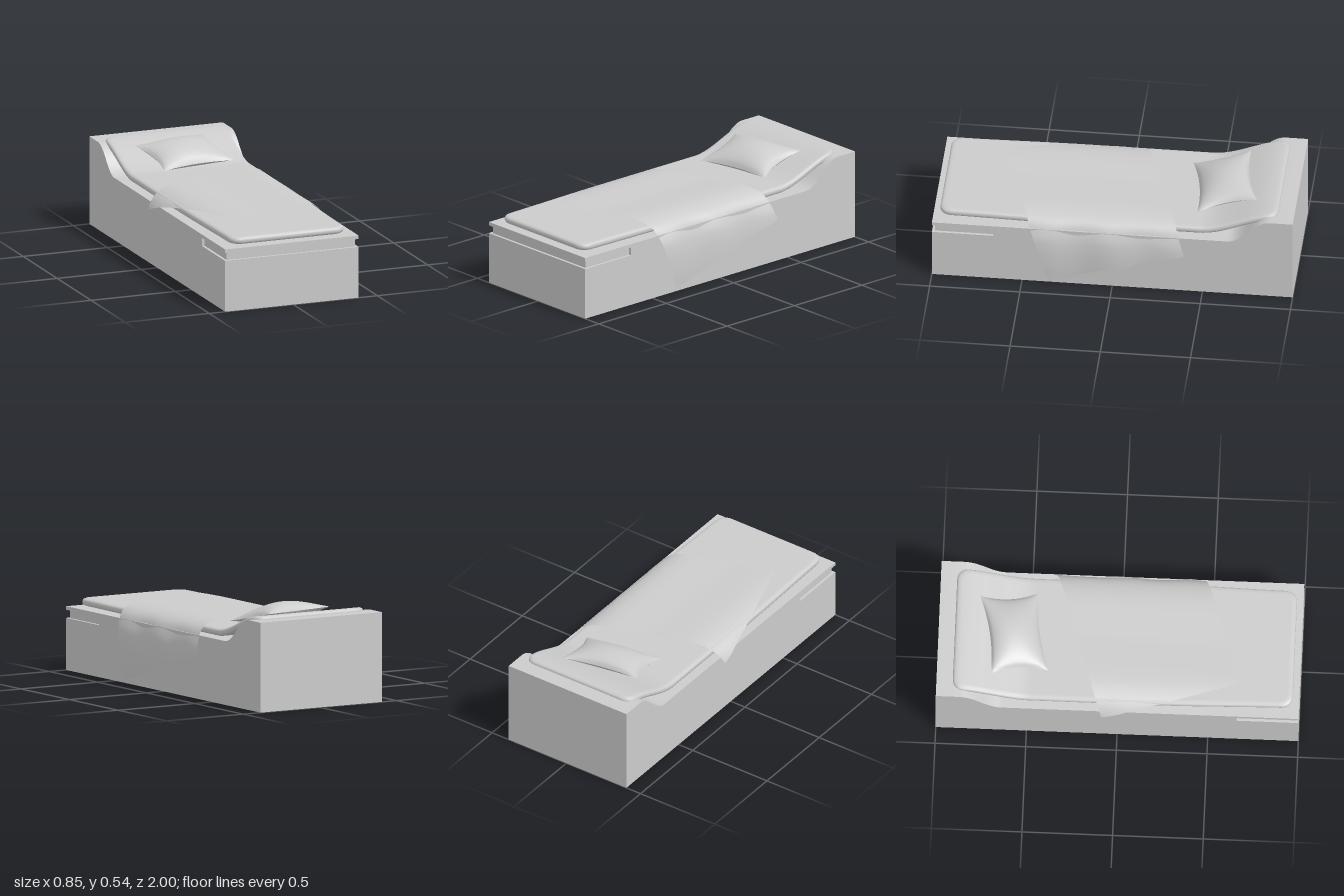
import * as THREE from 'three';
import { mergeVertices, toCreasedNormals } from 'three/addons/utils/BufferGeometryUtils.js';

const { smoothstep, lerp, clamp } = THREE.MathUtils;

// Moves every vertex of a geometry by a rule
function warp(geometry, rule) {
  const pos = geometry.attributes.position;
  const p = new THREE.Vector3();
  for (let i = 0; i < pos.count; i++) {
    rule(p.fromBufferAttribute(pos, i));
    pos.setXYZ(i, p.x, p.y, p.z);
  }
  geometry.computeVertexNormals();
  return geometry;
}

// Sheet over u, v in 0..1, where fn writes the point for (u, v)
function sheet(nu, nv, fn) {
  const g = new THREE.PlaneGeometry(1, 1, nu, nv);
  return warp(g, (p) => fn(p.x + 0.5, p.y + 0.5, p));
}

function add(parent, name, geometry, side = THREE.FrontSide) {
  const mesh = new THREE.Mesh(geometry, new THREE.MeshStandardMaterial({ color: 0xcccccc, side }));
  mesh.name = name;
  parent.add(mesh);
  return mesh;
}

// Side outline with the raised head end and the notch at the foot, pushed across the width
function baseGeometry() {
  const s = new THREE.Shape();
  s.moveTo(-1, 0);
  s.lineTo(1, 0);
  s.lineTo(1, 0.5);
  s.lineTo(0.87, 0.5);
  s.bezierCurveTo(0.77, 0.49, 0.73, 0.355, 0.63, 0.355);
  for (const [x, y] of [[-1, 0.355], [-1, 0.335], [-0.66, 0.335], [-0.66, 0.29], [-1, 0.29]]) s.lineTo(x, y);
  s.closePath();
  const g = new THREE.ExtrudeGeometry(s, { depth: 0.793, bevelEnabled: false, curveSegments: 20 });
  g.rotateY(Math.PI / 2).translate(-0.405, 0, 0);
  return toCreasedNormals(g, 0.5);
}

// Slab with rounded corners and edges that bends up at the head end
function mattressGeometry() {
  const hx = 0.355, hy = 0.02, hz = 0.9375, corner = 0.06, edge = 0.015;
  let g = new THREE.BoxGeometry(2 * hx, 2 * hy, 2 * hz, 40, 8, 100);
  g.deleteAttribute('uv');
  g.deleteAttribute('normal');
  g = mergeVertices(g);
  return warp(g, (p) => {
    const qx = clamp(p.x, corner - hx, hx - corner), qz = clamp(p.z, corner - hz, hz - corner);
    const dx = p.x - qx, dz = p.z - qz;
    const k = Math.max(Math.abs(dx), Math.abs(dz)) / (Math.hypot(dx, dz) || 1);
    const f = Math.min(1, Math.abs(p.y) / hy);
    const inset = edge * (1 - Math.sqrt(1 - f * f));
    p.x = (qx + dx * k) * (1 - inset / hx);
    p.z = (qz + dz * k) * (1 - inset / hz) + 0.0275;
    p.x = p.x * (1 - 0.04 * smoothstep(p.z, 0.2, 1)) - 0.01;
    p.y += 0.383 + 0.115 * smoothstep(-p.z, 0.48, 0.9);
  });
}

// Flat turned rectangle laid over a drape curve that runs across the bed
function blanketGeometry() {
  const drape = new THREE.CatmullRomCurve3([
    [-0.435, 0.25], [-0.42, 0.33], [-0.37, 0.39], [-0.28, 0.423], [0, 0.425], [0.28, 0.423],
    [0.36, 0.387], [0.397, 0.32], [0.412, 0.25], [0.417, 0.13], [0.41, 0],
  ].map(([x, y]) => new THREE.Vector3(x, y, 0)));
  drape.arcLengthDivisions = 800;
  const length = drape.getLength();
  return sheet(80, 60, (u, v, p) => {
    const s = -0.235 + 0.98 * u - 0.23 * v;
    const z = 0.665 - 0.315 * u - 0.75 * v;
    drape.getPointAt(clamp((s + 0.535) / length, 0, 1), p);
    const hang = smoothstep(Math.abs(s), 0.32, 0.5);
    p.x += Math.sign(s) * hang * 0.006 * Math.cos(z * 17);
    p.y += hang * 0.004 * Math.sin(z * 22);
    p.z = z;
  });
}

// One half of the cushion: pinched four-corner outline with a swollen middle
function pillowHalf(height) {
  return sheet(40, 32, (u, v, p) => {
    const a = 2 * u - 1, b = 2 * v - 1;
    const s = 0.5 + 0.5 * a * (1 - 0.13 * (1 - b * b));
    const t = 0.5 + 0.5 * b * (1 - 0.15 * (1 - a * a));
    p.x = lerp(lerp(-0.208, 0.247, s), lerp(-0.262, 0.19, s), t);
    p.z = lerp(lerp(-0.385, -0.455, s), lerp(-0.7, -0.78, s), t);
    const seam = lerp(0.435, 0.507, t);
    p.y = seam + height * Math.pow((1 - a * a) * (1 - b * b), 0.6);
  });
}

export function createModel() {
  const model = new THREE.Group();
  model.name = 'bed';

  add(model, 'bedBase', baseGeometry());

  // Recessed core that shows inside the groove at the foot
  const core = add(model, 'footGroove', new THREE.BoxGeometry(0.763, 0.045, 0.325));
  core.position.set(-0.0085, 0.3125, 0.8225);

  add(model, 'mattress', mattressGeometry());
  add(model, 'blanket', blanketGeometry(), THREE.DoubleSide);

  const pillow = new THREE.Group();
  pillow.name = 'pillow';
  add(pillow, 'pillowTop', pillowHalf(0.068), THREE.DoubleSide);
  add(pillow, 'pillowUnderside', pillowHalf(-0.045), THREE.DoubleSide);
  model.add(pillow);

  return model;
}
